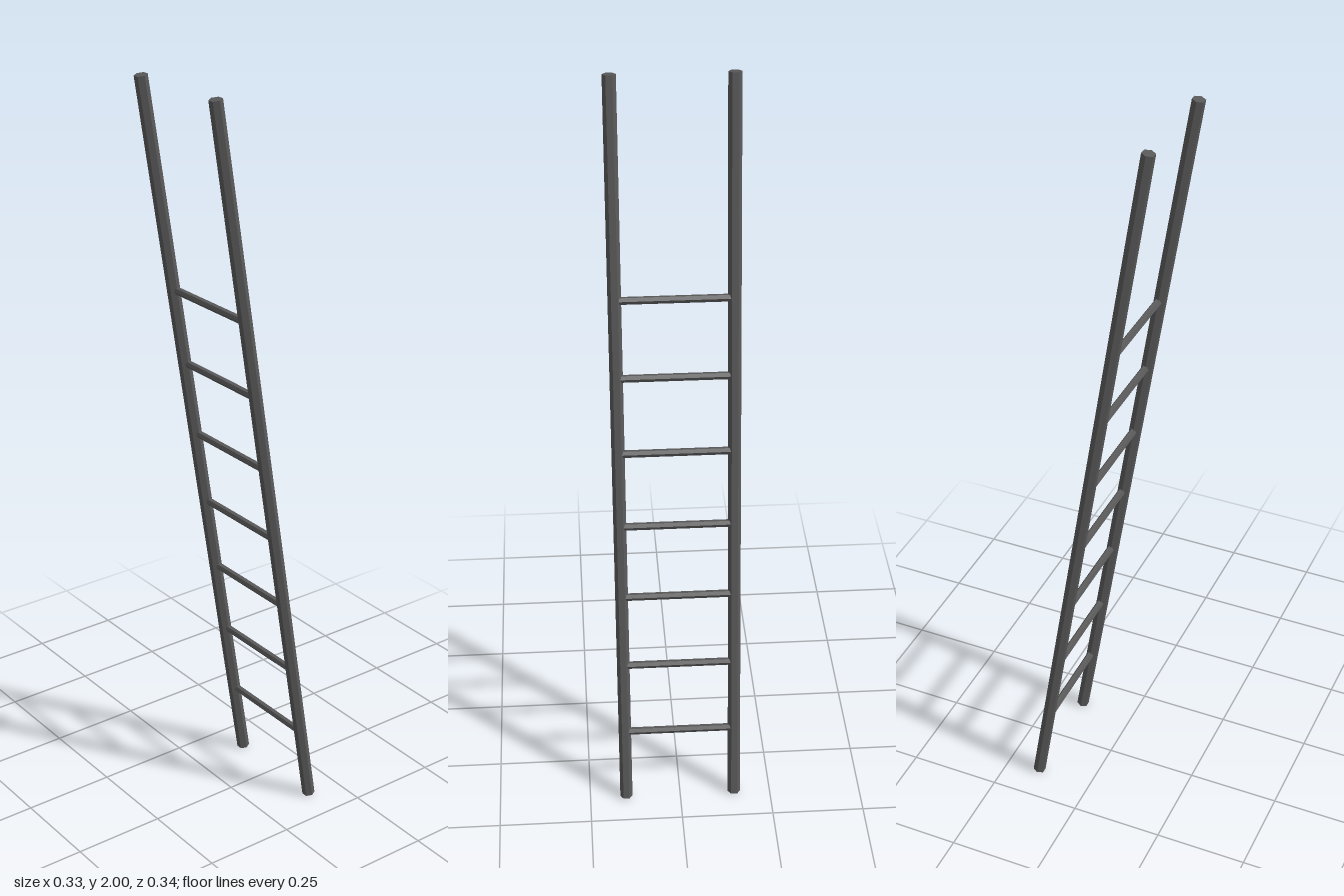
import * as THREE from 'three';

export function createModel() {
  const model = new THREE.Group();
  model.name = 'ladder';
  const darkGrey = new THREE.MeshStandardMaterial({ color: 0x595959, flatShading: true });
  darkGrey.name = 'darkGrey';

  // Everything is built upright, then leaned forward
  const tilt = 0.155;
  const frame = new THREE.Group();
  frame.name = 'leaningFrame';
  frame.position.y = 1;
  frame.rotation.x = tilt;
  model.add(frame);

  // Six-sided side rails, flat at front and back
  const railGeometry = new THREE.CylinderGeometry(0.017, 0.017, 2.02, 6).rotateY(Math.PI / 6);
  for (const side of [-1, 1]) {
    const rail = new THREE.Mesh(railGeometry, darkGrey);
    rail.name = side > 0 ? 'leftRail' : 'rightRail';
    rail.position.x = side * 0.15;
    frame.add(rail);
  }

  // Seven six-sided rungs, evenly spaced, none near the top
  const rungGeometry = new THREE.CylinderGeometry(0.01, 0.01, 0.29, 6).rotateZ(Math.PI / 2);
  for (let i = 0; i < 7; i++) {
    const rung = new THREE.Mesh(rungGeometry, darkGrey);
    rung.name = `rung${i + 1}`;
    rung.position.set(0, (0.21 + i * 0.205 - 1) / Math.cos(tilt), -0.002);
    frame.add(rung);
  }
  return model;
}
